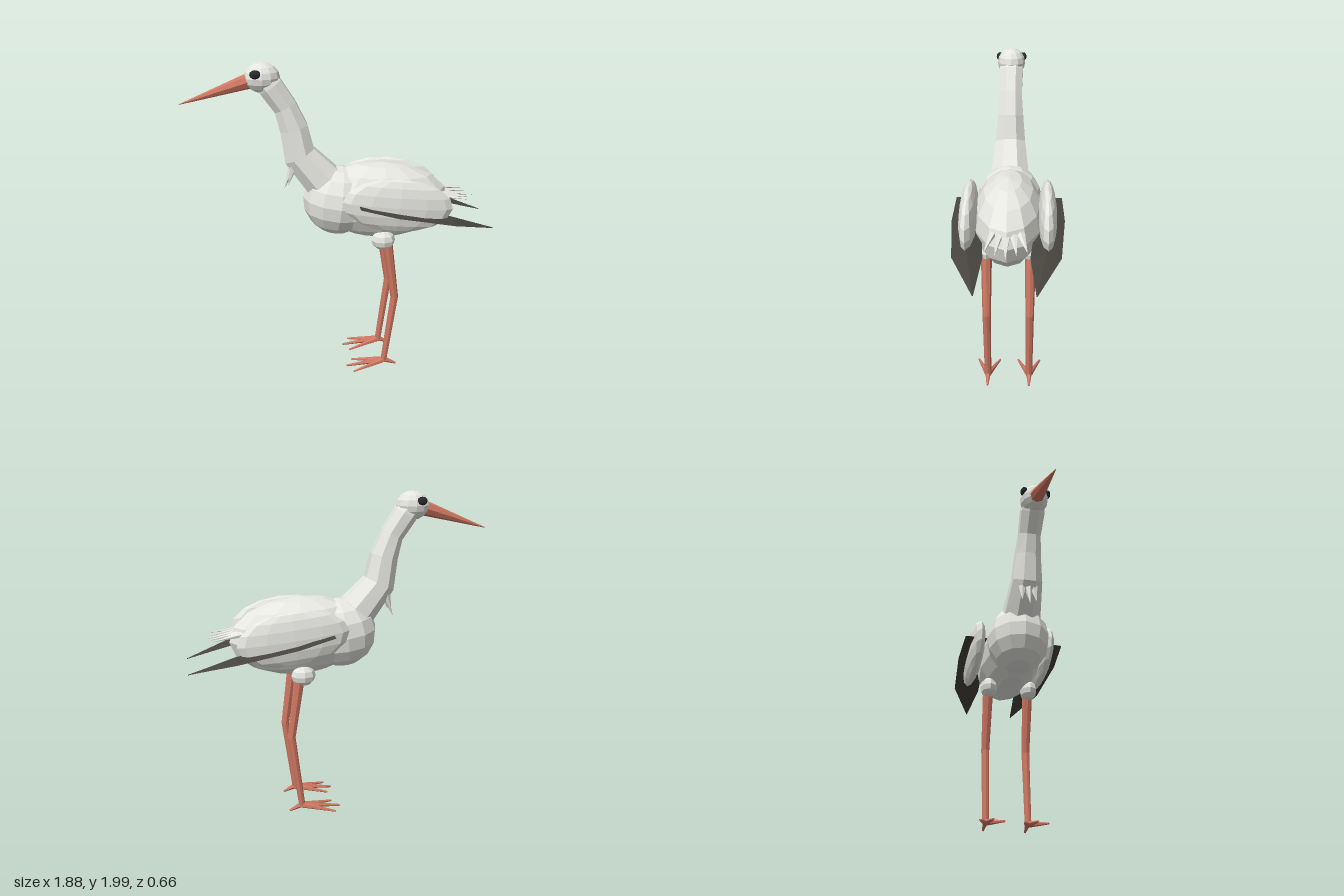
import * as THREE from 'three';

const mat = (color) => new THREE.MeshStandardMaterial({ color, flatShading: true });

// Closed skin through elliptical rings; each station is [x, y, z, in-plane radius, z radius]
function loft(stations, sides, offset = 0) {
  const pos = [], idx = [], n = stations.length;
  stations.forEach(([x, y, z, rn, rz], i) => {
    const a = stations[Math.max(i - 1, 0)], b = stations[Math.min(i + 1, n - 1)];
    const len = Math.hypot(b[0] - a[0], b[1] - a[1]);
    const nx = -(b[1] - a[1]) / len, ny = (b[0] - a[0]) / len;
    for (let k = 0; k < sides; k++) {
      const t = (k / sides) * Math.PI * 2 + offset;
      pos.push(x + nx * rn * Math.cos(t), y + ny * rn * Math.cos(t), z + rz * Math.sin(t));
    }
  });
  for (let i = 0; i < n - 1; i++) {
    for (let k = 0; k < sides; k++) {
      const a = i * sides + k, b = i * sides + ((k + 1) % sides);
      idx.push(a, b, b + sides, a, b + sides, a + sides);
    }
  }
  const last = (n - 1) * sides;
  for (let k = 1; k < sides - 1; k++) {
    idx.push(0, k + 1, k, last, last + k, last + k + 1);
  }
  const g = new THREE.BufferGeometry();
  g.setAttribute('position', new THREE.Float32BufferAttribute(pos, 3));
  g.setIndex(idx);
  g.computeVertexNormals();
  return g;
}

export function createModel() {
  const group = new THREE.Group();
  const white = mat(0xe6e6e1), dark = mat(0x45433c), coral = mat(0xcf7862), black = mat(0x2a2a2a);

  const add = (name, geometry, material, parent = group) => {
    const mesh = new THREE.Mesh(geometry, material);
    mesh.name = name;
    parent.add(mesh);
    return mesh;
  };
  const ball = (name, material, centre, radii, tilt = 0, w = 12, h = 8, parent = group) => {
    const mesh = add(name, new THREE.SphereGeometry(1, w, h), material, parent);
    mesh.position.set(...centre);
    mesh.scale.set(...radii);
    mesh.rotation.z = tilt;
    return mesh;
  };
  // Tapered rod from a to b, optionally flattened vertically
  const rod = (name, material, a, b, ra, rb, sides = 8, flat = 1, parent = group) => {
    const from = new THREE.Vector3(...a), to = new THREE.Vector3(...b);
    const dir = to.clone().sub(from);
    const g = new THREE.CylinderGeometry(rb, ra, dir.length(), sides);
    g.scale(flat, 1, 1);
    const mesh = add(name, g, material, parent);
    mesh.position.copy(from).add(to).multiplyScalar(0.5);
    mesh.quaternion.setFromUnitVectors(new THREE.Vector3(0, 1, 0), dir.normalize());
    return mesh;
  };

  // Body
  ball('body', white, [0.24, 1.143], [0.435, 0.243, 0.205], -0.06);
  ball('chest', white, [-0.02, 1.147], [0.222, 0.217, 0.2], -0.12);

  // Neck and head
  add('neck', loft([
    [-0.06, 1.22, 0, 0.13, 0.135],
    [-0.13, 1.295, 0, 0.122, 0.122],
    [-0.257, 1.445, 0, 0.104, 0.1],
    [-0.287, 1.61, 0, 0.09, 0.085],
    [-0.335, 1.74, 0, 0.074, 0.074],
    [-0.415, 1.86, 0, 0.078, 0.08],
    [-0.45, 1.9, 0, 0.07, 0.07],
  ], 8, Math.PI / 8), white);
  ball('head', white, [-0.463, 1.913], [0.105, 0.088, 0.087]);
  rod('beak', coral, [-0.53, 1.897, 0], [-0.945, 1.766, 0], 0.047, 0.002);

  // Throat feathers
  for (const s of [-1, 0, 1]) {
    rod('throatFeather', white, [-0.295, 1.39, s * 0.035],
      [-0.33 - (s ? 0 : 0.022), s ? 1.27 : 1.235, s * 0.045], 0.028, 0.001, 5);
  }

  // Tail fan
  for (let i = -2; i <= 2; i++) {
    rod('tailFeather', white, [0.56, 1.19, i * 0.035],
      [0.83 - Math.abs(i) * 0.024, 1.146 + Math.abs(i) * 0.006, i * 0.057], 0.03, 0.001, 5, 0.7);
  }

  for (const s of [1, -1]) {
    const side = new THREE.Group();
    side.name = s > 0 ? 'leftSide' : 'rightSide';
    group.add(side);

    ball('eye', black, [-0.5, 1.942, s * 0.074], [0.033, 0.026, 0.022], 0, 8, 6, side);

    // Wing with its dark flight feathers
    ball('wing', white, [0.315, 1.178, s * 0.228], [0.335, 0.166, 0.055], -0.1, 12, 8, side);
    add('flightFeathers', loft([
      [0.08, 1.193, s * 0.24, 0.004, 0.08],
      [0.3, 1.135, s * 0.245, 0.018, 0.085],
      [0.65, 1.062, s * 0.215, 0.024, 0.085],
      [0.93, 0.983, s * 0.165, 0.002, 0.003],
    ], 4), dark, side);

    // Leg
    const z = s * 0.132;
    ball('thigh', white, [0.245, 0.918, z], [0.075, 0.064, 0.056], 0, 8, 6, side);
    add('leg', loft([
      [0.268, 0.92, z, 0.033, 0.034],
      [0.326, 0.515, z, 0.025, 0.026],
      [0.266, 0.04, z, 0.02, 0.021],
    ], 8), coral, side);
    for (const t of [-1, 0, 1]) {
      rod('toe', coral, [0.275, 0.046, z],
        [t ? 0.06 : 0.02, 0.012, z + t * 0.072], 0.02, 0.006, 6, 1, side);
    }
    rod('backToe', coral, [0.262, 0.05, z], [0.348, 0.012, z], 0.019, 0.006, 6, 1, side);
  }
  return group;
}
